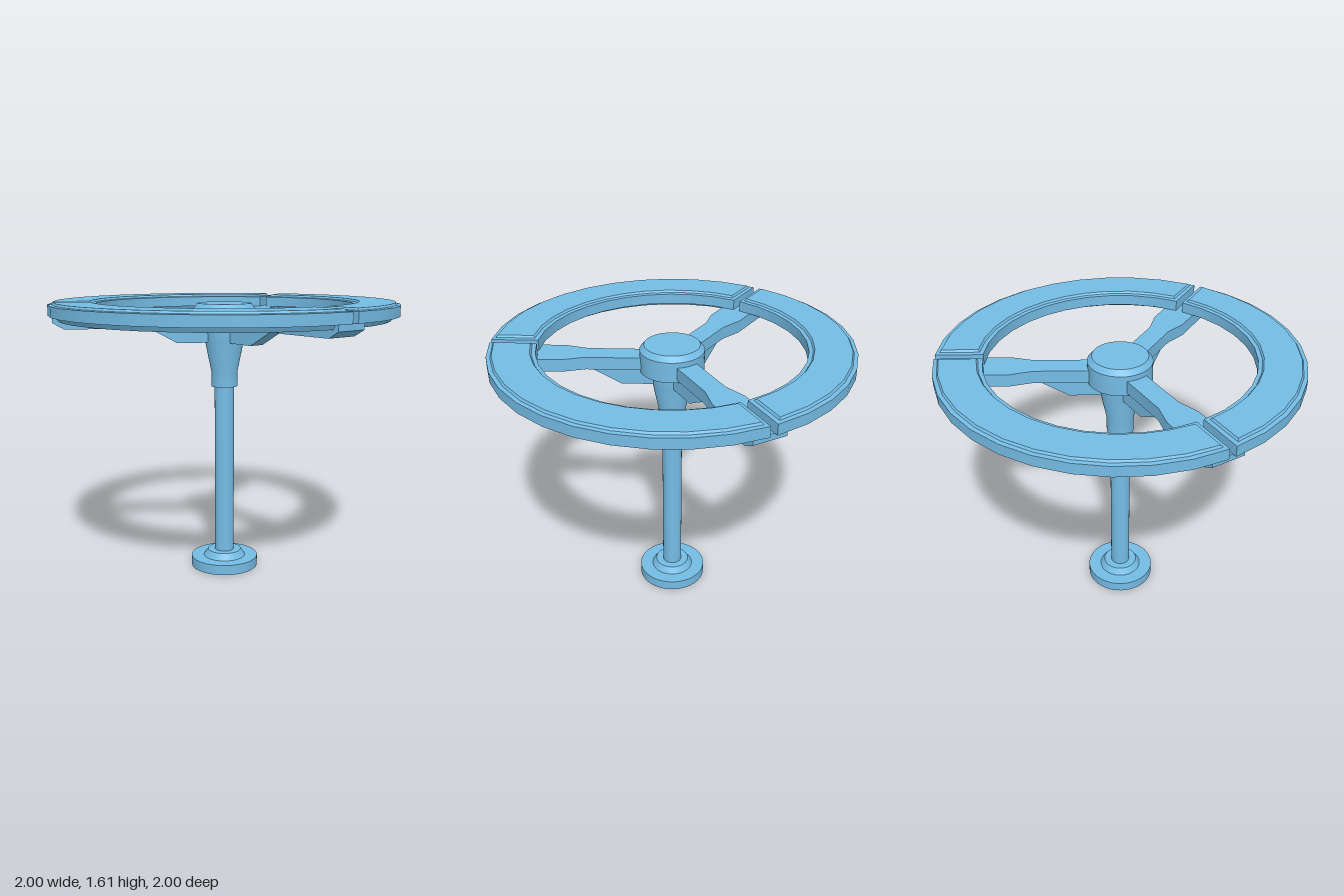
import * as THREE from 'three';
import { toCreasedNormals } from 'three/addons/utils/BufferGeometryUtils.js';

const material = new THREE.MeshStandardMaterial({ color: 0x75bce5 });

function part(name, geometry) {
  const mesh = new THREE.Mesh(toCreasedNormals(geometry, 0.4), material);
  mesh.name = name;
  return mesh;
}

// Solid of revolution from [radius, y] pairs, bottom to top
function turned(name, profile, sides = 40) {
  return part(name, new THREE.LatheGeometry(profile.map(([r, y]) => new THREE.Vector2(r, y)), sides));
}

// Skin over equal-length loops, closed at both ends by strips joining point i to point n-1-i
function loft(loops) {
  const n = loops[0].length;
  const index = [];
  const quad = (a, b, c, d) => index.push(a, b, c, a, c, d);
  for (let j = 0; j < loops.length - 1; j++) {
    for (let i = 0; i < n; i++) {
      const a = j * n, k = (i + 1) % n;
      quad(a + i, a + k, a + n + k, a + n + i);
    }
  }
  const last = (loops.length - 1) * n;
  for (let i = 0; i < n / 2 - 1; i++) {
    quad(n - 1 - i, n - 2 - i, i + 1, i);
    quad(last + i, last + i + 1, last + n - 2 - i, last + n - 1 - i);
  }
  const geometry = new THREE.BufferGeometry();
  geometry.setAttribute('position', new THREE.Float32BufferAttribute(loops.flat(2), 3));
  geometry.setIndex(index);
  return geometry;
}

// Outline of a third of the ring, inset evenly on all edges; ends run parallel to the gaps
function ringOutline(inset, y, steps = 11) {
  const arc = (r) => {
    const start = Math.asin((0.02 + inset) / r);
    const sweep = (2 * Math.PI) / 3 - 2 * start;
    return Array.from({ length: steps + 1 }, (_, i) => {
      const t = start + (sweep * i) / steps;
      return [r * Math.cos(t), y, -r * Math.sin(t)];
    });
  };
  return [...arc(1 - inset), ...arc(0.74 + inset).reverse()];
}

// Bar running outwards along x, from stations [distance, half width, underside y]
function bar(top, stations) {
  return loft(stations.map(([x, h, y]) => [[x, y, h], [x, y, -h], [x, top, -h], [x, top, h]]));
}

export function createModel() {
  const model = new THREE.Group();

  // Foot and post
  model.add(turned('base', [[0, 0], [0.2, 0], [0.2, 0.06], [0.125, 0.06], [0.1, 0.098], [0, 0.098]]));
  model.add(turned('post', [[0, 0.08], [0.057, 0.08], [0.057, 1.13], [0, 1.13]]));

  // Flared collar and bevelled hub
  model.add(turned('collar', [
    [0, 1.107], [0.077, 1.107], [0.077, 1.195], [0.112, 1.367], [0.115, 1.45], [0, 1.45],
  ]));
  model.add(turned('hub', [[0, 1.443], [0.18, 1.443], [0.18, 1.56], [0.155, 1.59], [0, 1.59]]));

  // Ring segment levels: [inset, y], with lower skirt and raised top plate
  const segment = loft([
    [0.052, 1.503], [0.038, 1.53], [0, 1.53], [0, 1.59], [0.022, 1.593], [0.03, 1.605],
  ].map(([inset, y]) => ringOutline(inset, y)));

  // Spoke widening towards the ring, and the narrower gusset below it
  const spoke = bar(1.53, [
    [0, 0.06, 1.458], [0.47, 0.06, 1.458], [0.6, 0.095, 1.458],
    [0.91, 0.095, 1.458], [0.975, 0.095, 1.495],
  ]);
  const gusset = bar(1.47, [[0, 0.045, 1.367], [0.28, 0.045, 1.367], [0.45, 0.045, 1.46]]);

  // Three spokes, each under a gap between segments
  for (let i = 0; i < 3; i++) {
    const third = new THREE.Group();
    third.name = 'wheelThird';
    third.add(part('ringSegment', segment), part('spoke', spoke), part('gusset', gusset));
    third.rotation.y = Math.PI / 2 + (i * 2 * Math.PI) / 3;
    model.add(third);
  }
  return model;
}
